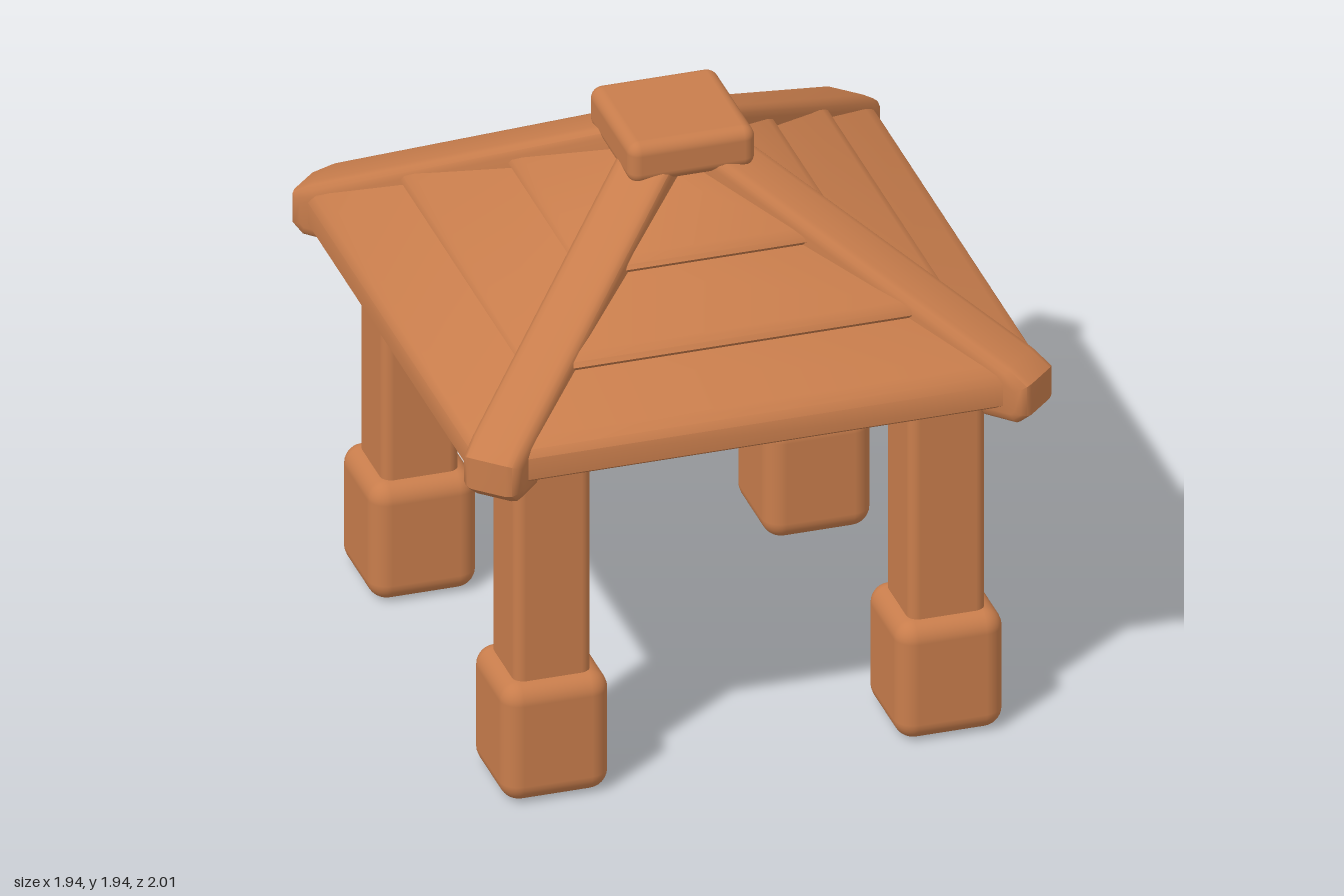
import * as THREE from 'three';
import { RoundedBoxGeometry } from 'three/addons/geometries/RoundedBoxGeometry.js';
import { toCreasedNormals } from 'three/addons/utils/BufferGeometryUtils.js';

export function createModel() {
  const group = new THREE.Group();
  group.name = 'gazebo';
  const wood = new THREE.MeshStandardMaterial({ color: 0xc87d4c });
  wood.name = 'warm wood';

  const add = (name, geometry, x = 0, y = 0, z = 0) => {
    const mesh = new THREE.Mesh(geometry, wood);
    mesh.name = name;
    mesh.position.set(x, y, z);
    group.add(mesh);
    return mesh;
  };

  // Four square posts on chunky rounded feet
  const postGeo = new RoundedBoxGeometry(0.255, 0.98, 0.255, 3, 0.035);
  const footGeo = new RoundedBoxGeometry(0.355, 0.42, 0.355, 4, 0.065);
  for (const x of [-0.652, 0.652]) {
    for (const z of [-0.672, 0.688]) {
      add('post', postGeo, x, 0.77, z);
      add('foot', footGeo, x, 0.215, z);
    }
  }

  // Stepped roof: profile of half-width and height, swept round a square with cut corners
  const profile = [
    [0, 1.22], [0.92, 1.22], [0.94, 1.235], [0.94, 1.31], [0.925, 1.335], [0.89, 1.358],
    [0.7, 1.462], [0.71, 1.475], [0.702, 1.492], [0.675, 1.51],
    [0.43, 1.625], [0.44, 1.638], [0.432, 1.653], [0.405, 1.672],
    [0.18, 1.79], [0, 1.82],
  ].map(([s, y]) => new THREE.Vector2(s, y));
  const roofGeo = new THREE.LatheGeometry(profile, 8, Math.PI / 8);
  const p = roofGeo.attributes.position;
  for (let i = 0; i < p.count; i++) {
    const x = p.getX(i), z = p.getZ(i);
    const s = Math.hypot(x, z);
    const short = Math.max(s - 0.12, s * 0.4);
    const wide = Math.abs(x) > Math.abs(z);
    p.setX(i, Math.sign(x) * (wide ? s : short));
    p.setZ(i, Math.sign(z) * (wide ? short : s) * 1.015);
  }
  add('steppedRoof', toCreasedNormals(roofGeo, 0.7), 0, 0, 0.01);

  // Hip beams along the roof corners, with a blunt drop at the end
  const beamShape = new THREE.Shape([
    [0.05, 1.72], [1.08, 1.24], [1.16, 1.17], [1.28, 1.17], [1.32, 1.205],
    [1.32, 1.315], [1.25, 1.363], [0.05, 1.918],
  ].map(([r, y]) => new THREE.Vector2(r, y)));
  const bevel = 0.04, beamWidth = 0.2;
  const beamGeo = new THREE.ExtrudeGeometry(beamShape, {
    depth: beamWidth - 2 * bevel, bevelEnabled: true, bevelSize: bevel,
    bevelThickness: bevel, bevelOffset: -bevel, bevelSegments: 3,
  });
  beamGeo.translate(0, 0, bevel - beamWidth / 2);
  const beam = toCreasedNormals(beamGeo, 0.75);
  const angle = Math.atan2(0.945, 0.905);
  for (const a of [angle, Math.PI - angle, Math.PI + angle, -angle]) {
    add('hipBeam', beam).rotation.y = a;
  }

  // Cap block at the peak
  add('roofCap', new RoundedBoxGeometry(0.42, 0.145, 0.44, 4, 0.04), 0, 1.868, 0.005);

  return group;
}
